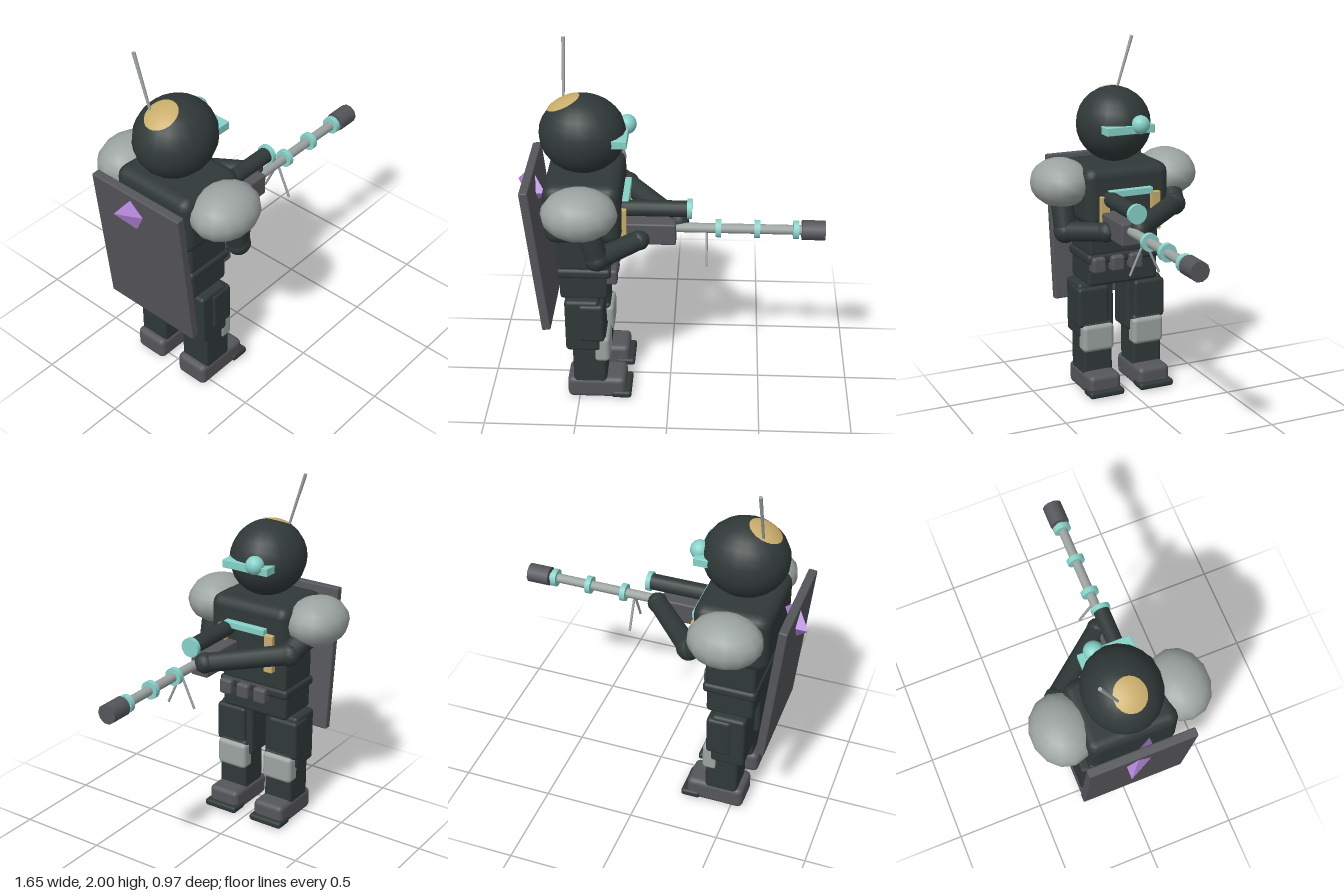
import * as THREE from 'three';
import { RoundedBoxGeometry } from 'three/addons/geometries/RoundedBoxGeometry.js';

function mat(name, color) {
  const m = new THREE.MeshStandardMaterial({ color });
  m.name = name;
  return m;
}

export function createModel() {
  const root = new THREE.Group();
  root.name = 'armouredSoldier';
  const dark = mat('dark armour', 0x303938);
  const grey = mat('grey metal', 0x55565a);
  const pale = mat('pale plate', 0x9ca4a1);
  const teal = mat('teal glow', 0x86d2c8);
  const gold = mat('gold trim', 0xc9ad6a);
  const purple = mat('purple crystal', 0xb084d6);

  const V = (x, y, z) => new THREE.Vector3(x, y, z);
  const add = (name, geo, material) => {
    const m = new THREE.Mesh(geo, material);
    m.name = name;
    root.add(m);
    return m;
  };
  // Rounded box given by its lower and upper limits on each axis
  const box = (name, material, [x0, x1], [y0, y1], [z0, z1], r = 0.02) => {
    const m = add(name, new RoundedBoxGeometry(x1 - x0, y1 - y0, z1 - z0, 2, r), material);
    m.position.set((x0 + x1) / 2, (y0 + y1) / 2, (z0 + z1) / 2);
    return m;
  };
  // Ellipsoid from centre and radii
  const ball = (name, material, c, r, w = 16, h = 12) => {
    const m = add(name, new THREE.SphereGeometry(1, w, h), material);
    m.position.copy(c);
    m.scale.copy(r);
    return m;
  };
  // Cylinder between two points
  const rod = (name, material, a, b, ra, rb = ra, sides = 12) => {
    const d = b.clone().sub(a);
    const m = add(name, new THREE.CylinderGeometry(rb, ra, d.length(), sides), material);
    m.position.copy(a).add(b).multiplyScalar(0.5);
    m.quaternion.setFromUnitVectors(V(0, 1, 0), d.normalize());
    return m;
  };

  // Legs, boots and knee pads
  for (const s of [1, -1]) {
    const z = (a, b) => (s > 0 ? [a, b] : [-b, -a]);
    box('boot', grey, [-0.565, -0.24], [0, 0.13], z(0.057, 0.25), 0.03);
    box('toeCap', dark, [-0.32, -0.21], [0.008, 0.048], z(0.05, 0.26), 0.015);
    box('shin', dark, [-0.53, -0.345], [0.08, 0.42], z(0.065, 0.245));
    box('thigh', dark, [-0.565, -0.375], [0.325, 0.645], z(0.042, 0.258));
    box('thighPlate', dark, [-0.49, -0.35], [0.39, 0.625], z(0.08, 0.268));
    box('kneePad', pale, [-0.415, -0.325], [0.245, 0.405], z(0.06, 0.25), 0.025);
  }

  // Pelvis, belt and pouches
  box('pelvis', dark, [-0.59, -0.33], [0.635, 0.8], [-0.212, 0.212]);
  box('belt', dark, [-0.605, -0.31], [0.77, 0.827], [-0.225, 0.225]);
  for (const z of [0.167, 0.053, -0.06]) {
    box('beltPouch', grey, [-0.35, -0.278], [0.725, 0.815], [z - 0.04, z + 0.04], 0.015);
  }

  // Torso with chest trim
  box('abdomen', dark, [-0.597, -0.32], [0.815, 1.05], [-0.212, 0.212]);
  box('chest', dark, [-0.66, -0.25], [0.99, 1.33], [-0.252, 0.252], 0.06);
  box('chestLight', teal, [-0.265, -0.215], [1.17, 1.208], [-0.13, 0.13], 0.004);
  for (const z of [0.153, -0.153]) {
    box('chestStrap', gold, [-0.265, -0.225], [0.96, 1.178], [z - 0.027, z + 0.027], 0.004);
  }

  // Head, crown patch, visor, eye lens and antenna
  const headCentre = V(-0.459, 1.533, 0);
  ball('head', dark, headCentre, V(0.23, 0.21, 0.207), 20, 14);
  const patch = add('crownPatch', new THREE.SphereGeometry(1, 20, 5, 0, Math.PI * 2, 0, 0.42), gold);
  patch.geometry.rotateZ(0.46);
  patch.geometry.scale(0.233, 0.213, 0.21);
  patch.position.copy(headCentre);
  box('visor', teal, [-0.31, -0.22], [1.512, 1.558], [-0.143, 0.143], 0.004);
  ball('eyeLens', teal, V(-0.23, 1.56, -0.06), V(0.05, 0.052, 0.052));
  rod('antenna', pale, V(-0.56, 1.69, -0.062), V(-0.56, 2, -0.162), 0.007, 0.01, 8);

  // Shoulder pads
  for (const s of [1, -1]) {
    ball('shoulderPad', pale, V(-0.457, 1.23, s * 0.325), V(0.2, 0.136, 0.166), 14, 10);
  }

  // Arms as shoulder, elbow, hand chains
  for (const [shoulder, elbow, hand] of [
    [V(-0.43, 1.2, 0.335), V(-0.37, 0.97, 0.335), V(-0.16, 1.0, 0.18)],
    [V(-0.43, 1.2, -0.32), V(-0.25, 1.09, -0.275), V(0.045, 1.06, 0.075)],
  ]) {
    rod('upperArm', dark, shoulder, elbow, 0.067, 0.06);
    ball('elbow', dark, elbow, V(0.066, 0.066, 0.066), 12, 8);
    rod('forearm', dark, elbow, hand, 0.057, 0.052);
    ball('hand', dark, hand, V(0.057, 0.057, 0.057), 12, 8);
  }

  // Rifle: receiver, barrel, rings, muzzle and bipod
  const gy = 1.047, gz = 0.12;
  const along = (x, y = gy) => V(x, y, gz);
  box('receiver', grey, [-0.28, 0.035], [0.965, 1.09], [gz - 0.055, gz + 0.055], 0.01);
  rod('barrel', pale, along(0.02), along(0.72), 0.026);
  for (const x of [0.257, 0.462, 0.667]) {
    rod('barrelRing', teal, along(x - 0.015), along(x + 0.015), 0.049, 0.049, 16);
  }
  rod('muzzle', grey, along(0.697), along(0.82), 0.054, 0.054, 10);
  for (const s of [1, -1]) {
    rod('bipodLeg', pale, V(0.197, 1.04, gz), V(0.197, 0.857, gz + s * 0.085), 0.007, 0.007, 6);
  }

  // Scope with lens
  rod('scope', dark, along(-0.25, 1.16), along(0.1, 1.16), 0.044, 0.044, 14);
  rod('scopeLens', teal, along(0.092, 1.16), along(0.117, 1.16), 0.054, 0.054, 16);

  // Back shield, leaning away at the top
  const shield = box('backShield', grey, [-0.727, -0.679], [0.482, 1.328], [-0.295, 0.295], 0.008);
  shield.rotation.z = 0.1;

  // Slanted crystal set through the shield
  const crystal = add('crystal', new THREE.OctahedronGeometry(1), purple);
  crystal.geometry.scale(0.084, 0.112, 0.083);
  const p = crystal.geometry.attributes.position;
  for (let i = 0; i < p.count; i++) p.setZ(i, p.getZ(i) + p.getX(i));
  crystal.geometry.computeVertexNormals();
  crystal.position.set(-0.742, 1.21, -0.005);

  return root;
}
